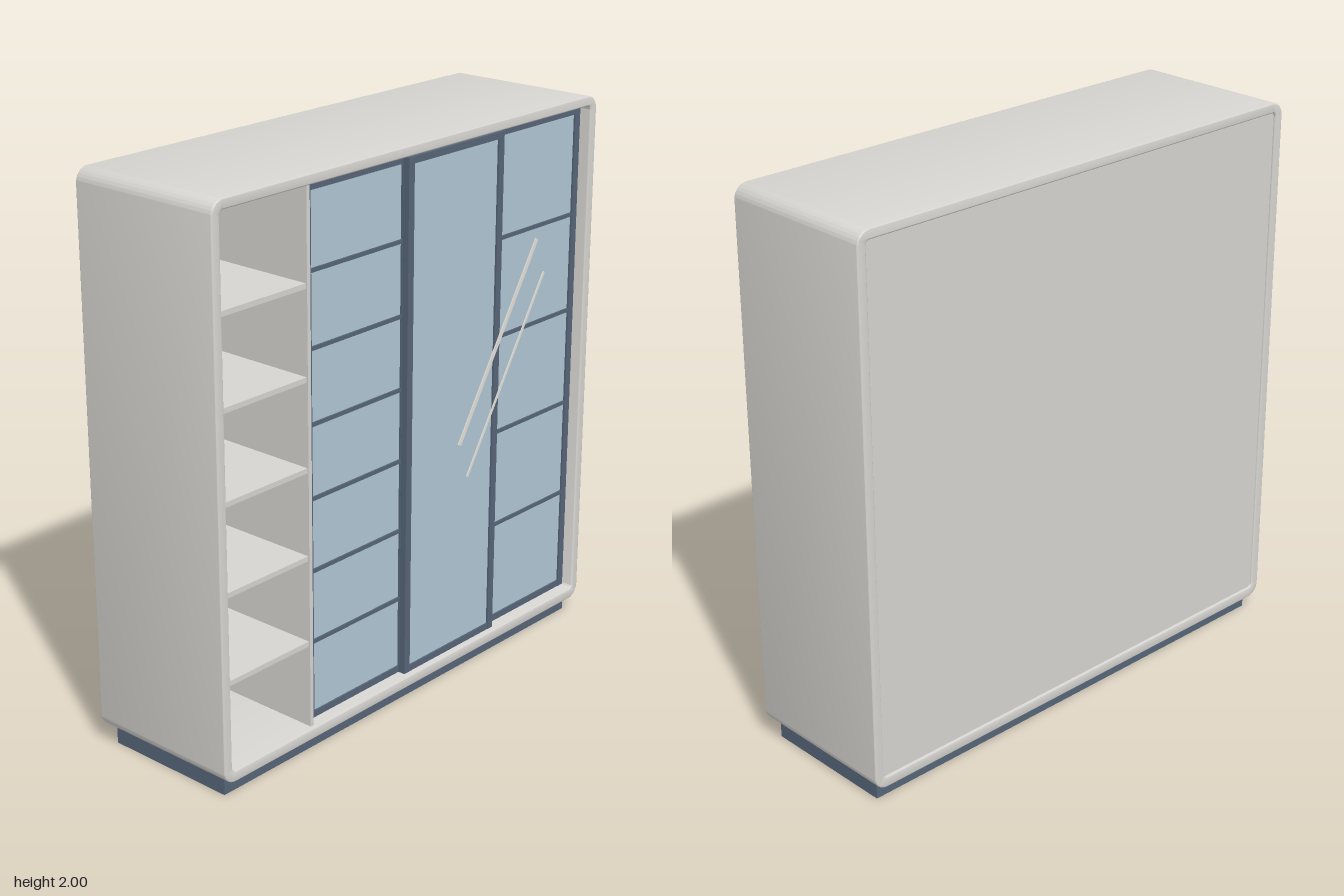
import * as THREE from 'three';
import { toCreasedNormals } from 'three/addons/utils/BufferGeometryUtils.js';

const mat = (name, color) => new THREE.MeshStandardMaterial({ name, color });

function roundedRect(shape, x0, x1, y0, y1, r) {
  shape.moveTo(x0 + r, y0);
  shape.lineTo(x1 - r, y0);
  shape.absarc(x1 - r, y0 + r, r, -Math.PI / 2, 0, false);
  shape.lineTo(x1, y1 - r);
  shape.absarc(x1 - r, y1 - r, r, 0, Math.PI / 2, false);
  shape.lineTo(x0 + r, y1);
  shape.absarc(x0 + r, y1 - r, r, Math.PI / 2, Math.PI, false);
  shape.lineTo(x0, y0 + r);
  shape.absarc(x0 + r, y0 + r, r, Math.PI, Math.PI * 1.5, false);
  return shape;
}

export function createModel() {
  const body = mat('warmGreyBody', 0xd6d4d0);
  const slate = mat('slateFrame', 0x566577);
  const glass = mat('blueGlass', 0xafc6d4);
  const shine = mat('paleShine', 0xe2dfd8);
  const model = new THREE.Group();
  model.name = 'wardrobe';

  // Box given by its limits on each axis
  function box(parent, name, material, x0, x1, y0, y1, z0, z1) {
    const mesh = new THREE.Mesh(new THREE.BoxGeometry(x1 - x0, y1 - y0, z1 - z0), material);
    mesh.position.set((x0 + x1) / 2, (y0 + y1) / 2, (z0 + z1) / 2);
    mesh.name = name;
    parent.add(mesh);
    return mesh;
  }

  // Rounded shell, open front and back, with softened rims
  const b = 0.005;
  const outline = roundedRect(new THREE.Shape(), -0.95 + b, 0.95 - b, 0.06 + b, 2 - b, 0.045);
  outline.holes.push(roundedRect(new THREE.Path(), -0.915 - b, 0.915 + b, 0.1 - b, 1.965 + b, 0.02));
  const shellGeo = new THREE.ExtrudeGeometry(outline, {
    depth: 0.59 - 2 * b, bevelEnabled: true, bevelSize: b, bevelThickness: b, bevelSegments: 3, curveSegments: 10,
  });
  shellGeo.translate(0, 0, -0.295 + b);
  const shell = new THREE.Mesh(toCreasedNormals(shellGeo, 0.6), body);
  shell.name = 'shell';
  model.add(shell);

  box(model, 'backPanel', body, -0.918, 0.918, 0.097, 1.968, -0.287, -0.27);
  box(model, 'plinth', slate, -0.915, 0.915, 0, 0.065, -0.255, 0.255);

  // Open shelf bay
  const bay = new THREE.Group();
  bay.name = 'openShelves';
  model.add(bay);
  box(bay, 'divider', body, -0.53, -0.515, 0.1, 1.965, -0.27, 0.28);
  for (let i = 0; i < 5; i++) {
    const y = 0.407 + i * 0.3085;
    box(bay, 'shelf', body, -0.915, -0.53, y - 0.009, y + 0.009, -0.27, 0.275);
  }

  // Sliding door: glass, stiles, rails and cross bars
  function door(name, x0, x1, zFront, bars) {
    const g = new THREE.Group();
    g.name = name;
    model.add(g);
    const y0 = 0.107, y1 = 1.957, w = 0.028, z0 = zFront - 0.024;
    box(g, 'glassPanel', glass, x0 + 0.01, x1 - 0.01, y0 + 0.01, y1 - 0.01, zFront - 0.016, zFront - 0.007);
    box(g, 'stile', slate, x0, x0 + w, y0, y1, z0, zFront);
    box(g, 'stile', slate, x1 - w, x1, y0, y1, z0, zFront);
    for (const y of [y0, y1 - 0.024]) box(g, 'rail', slate, x0 + w, x1 - w, y, y + 0.024, z0, zFront - 0.001);
    for (const y of bars) box(g, 'crossBar', slate, x0 + w, x1 - w, y - 0.007, y + 0.007, z0, zFront - 0.001);
  }
  door('leftDoor', -0.513, -0.022, 0.256, [0.39, 0.647, 0.904, 1.161, 1.418, 1.675]);
  door('middleDoor', -0.05, 0.444, 0.282, []);
  door('rightDoor', 0.416, 0.908, 0.256, [0.495, 0.855, 1.213, 1.571]);

  // Slanted shine strips
  for (const [x, y, width] of [[0.433, 1.213, 0.016], [0.48, 1.083, 0.009]]) {
    const strip = box(model, 'shineStrip', shine, -0.386, 0.386, -width / 2, width / 2, -0.002, 0.002);
    strip.position.set(x, y, 0.285);
    strip.rotation.z = Math.atan2(0.655, 0.41);
  }
  return model;
}
